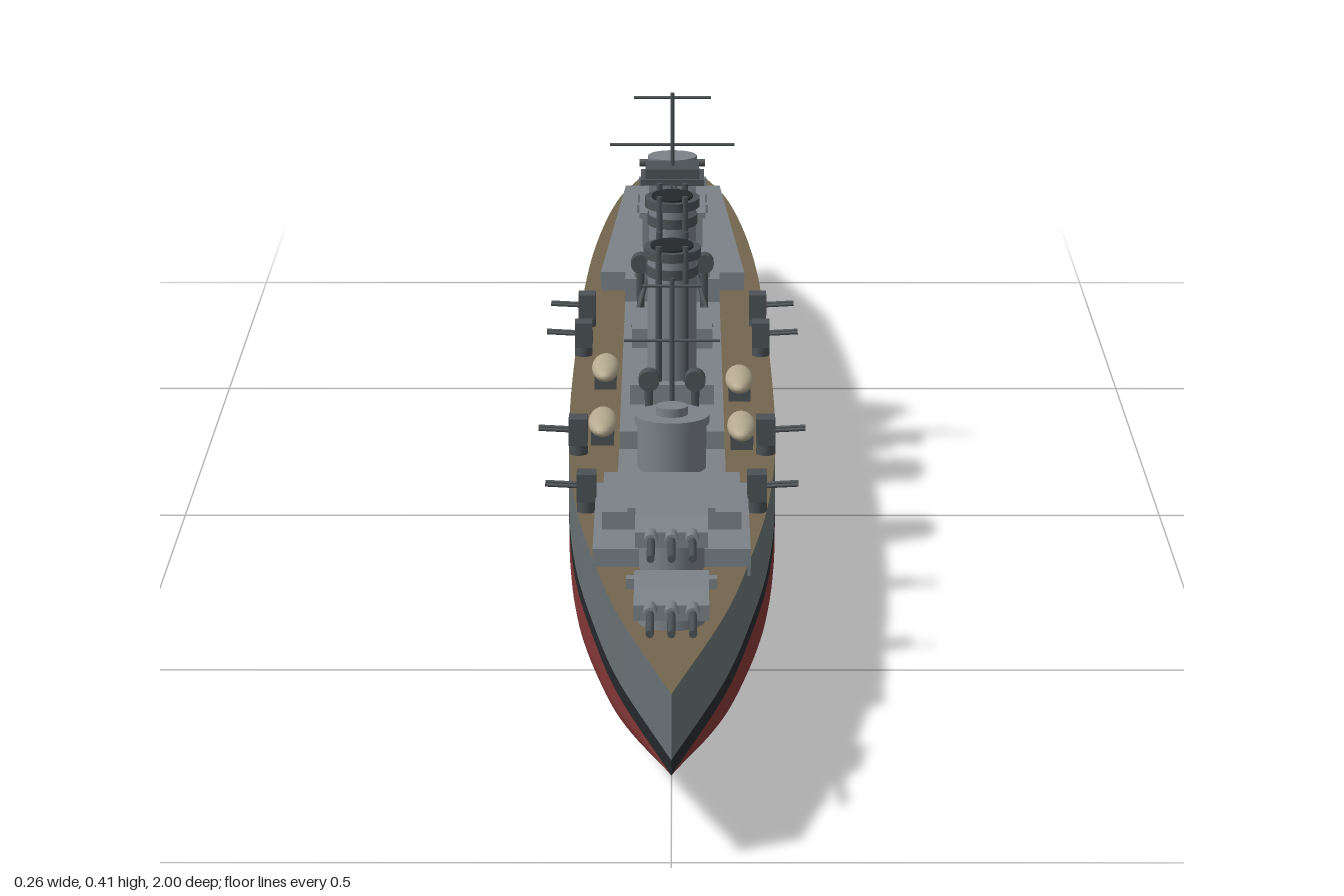
import * as THREE from 'three';

const mat = (color) => new THREE.MeshStandardMaterial({ color });
const M = {
  hull: mat(0x697174), deck: mat(0x74664e), red: mat(0x853838), black: mat(0x25292b),
  grey: mat(0x7b8288), dark: mat(0x4b5155), boat: mat(0xb5aa90),
};

// piecewise smooth interpolation through [position, value] pairs
function curve(pts) {
  return (z) => {
    let i = 0;
    while (i < pts.length - 2 && z > pts[i + 1][0]) i++;
    const slope = (k) => {
      const a = pts[Math.max(k - 1, 0)], b = pts[Math.min(k + 1, pts.length - 1)];
      return (b[1] - a[1]) / (b[0] - a[0]);
    };
    const [z0, a] = pts[i], [z1, b] = pts[i + 1], h = z1 - z0, t = (z - z0) / h;
    const t2 = t * t, t3 = t2 * t;
    return a * (2 * t3 - 3 * t2 + 1) + b * (3 * t2 - 2 * t3) +
      h * (slope(i) * (t3 - 2 * t2 + t) + slope(i + 1) * (t3 - t2));
  };
}
const halfWidth = curve([[-1, 0], [-0.88, 0.035], [-0.77, 0.062], [-0.6, 0.082], [-0.4, 0.094], [-0.1, 0.1],
  [0.25, 0.1], [0.47, 0.089], [0.66, 0.067], [0.8, 0.045], [1, 0]]);
const keel = curve([[-1, 0.075], [-0.94, 0.045], [-0.86, 0.02], [-0.72, 0.004], [-0.5, 0], [0.3, 0], [0.5, 0.006],
  [0.7, 0.023], [0.85, 0.045], [1, 0.075]]);
const deckY = (z) => 0.151 + 0.013 * Math.max(0, -z) ** 2 - 0.006 * Math.max(0, z) ** 2;

// surface swept along the ship; section(z, v) gives [x, y]
function sweep(nv, section) {
  const nu = 80, pos = [], idx = [];
  for (let i = 0; i <= nu; i++) {
    const z = -1 + (2 * i) / nu;
    for (let j = 0; j <= nv; j++) pos.push(...section(z, j / nv), z);
  }
  for (let i = 0; i < nu; i++) for (let j = 0; j < nv; j++) {
    const a = i * (nv + 1) + j, b = a + nv + 1;
    idx.push(a, b, a + 1, b, b + 1, a + 1);
  }
  const g = new THREE.BufferGeometry();
  g.setAttribute('position', new THREE.Float32BufferAttribute(pos, 3));
  g.setIndex(idx);
  g.computeVertexNormals();
  return g;
}

function add(parent, name, geo, material, x = 0, y = 0, z = 0) {
  const m = new THREE.Mesh(geo, material);
  m.name = name;
  m.position.set(x, y, z);
  parent.add(m);
  return m;
}
// box and cylinder given by bottom and top heights
const box = (p, name, w, y0, y1, z0, z1, m = M.grey, x = 0) =>
  add(p, name, new THREE.BoxGeometry(w, y1 - y0, z1 - z0), m, x, (y0 + y1) / 2, (z0 + z1) / 2);
const cyl = (p, name, r, y0, y1, z, m = M.grey, x = 0, n = 24) =>
  add(p, name, new THREE.CylinderGeometry(r, r, y1 - y0, n), m, x, (y0 + y1) / 2, z);
function rod(p, name, a, b, r, m = M.dark) {
  const A = new THREE.Vector3(...a), B = new THREE.Vector3(...b), d = B.clone().sub(A);
  const s = add(p, name, new THREE.CylinderGeometry(r, r, d.length(), 8), m);
  s.position.copy(A).add(B).multiplyScalar(0.5);
  s.quaternion.setFromUnitVectors(new THREE.Vector3(0, 1, 0), d.normalize());
}
function group(parent, name, x = 0, y = 0, z = 0) {
  const g = new THREE.Group();
  g.name = name;
  g.position.set(x, y, z);
  parent.add(g);
  return g;
}

function buildHull(ship) {
  const hull = group(ship, 'hull');
  const band = (name, m, lo, hi) => [1, -1].forEach((s) => add(hull, name,
    sweep(1, (z, v) => [s * halfWidth(z), (s > 0) === (v < 0.5) ? hi(z) : lo(z)]), m));
  band('topsides', M.hull, () => 0.088, deckY);
  band('waterlineBand', M.black, () => 0.075, () => 0.088);
  add(hull, 'underwaterHull', sweep(28, (z, v) => {
    const c = Math.cos(v * Math.PI), s = Math.sin(v * Math.PI), p = 0.45 + 0.4 * Math.abs(z) ** 3;
    return [halfWidth(z) * Math.sign(c) * Math.abs(c) ** p, 0.075 - (0.075 - keel(z)) * Math.max(s, 0) ** p];
  }), M.red);
  add(hull, 'deck', sweep(1, (z, v) => [halfWidth(z) * (2 * v - 1), deckY(z)]), M.deck);
  // anchor openings near the bow
  for (const s of [1, -1]) for (const z of [-0.87, -0.915])
    add(hull, 'anchorOpening', new THREE.SphereGeometry(0.009, 12, 8), M.black, s * halfWidth(z), 0.122, z);
}

// triple turret; dir is the z direction of the barrels
function buildTurret(ship, z, base, floor, dir) {
  const t = group(ship, 'turret', 0, base, z);
  if (dir < 0) t.rotation.y = Math.PI;
  cyl(t, 'barbette', 0.029, floor - base, 0.006, 0);
  const s = new THREE.Shape([[-0.033, 0.004], [0.036, 0.004], [0.036, 0.018], [0.016, 0.028], [-0.033, 0.028]]
    .map((q) => new THREE.Vector2(...q)));
  const g = new THREE.ExtrudeGeometry(s, { depth: 0.064, bevelEnabled: false });
  g.translate(0, 0, -0.032).rotateY(-Math.PI / 2);
  add(t, 'gunhouse', g, M.grey);
  box(t, 'rangefinder', 0.078, 0.016, 0.025, -0.028, -0.016);
  for (const x of [-0.018, 0, 0.018]) {
    rod(t, 'barrelSleeve', [x, 0.015, 0.03], [x, 0.016, 0.055], 0.006, M.grey);
    rod(t, 'barrel', [x, 0.015, 0.03], [x, 0.018, 0.115], 0.0035);
  }
}

function buildFunnel(ship, z) {
  const f = group(ship, 'funnel', 0, 0, z);
  box(f, 'funnelBase', 0.082, 0.17, 0.195, -0.045, 0.045);
  const oval = (name, rx, rz, y0, y1, m) => {
    const o = cyl(f, name, 1, y0, y1, 0, m, 0, 32);
    o.scale.set(rx, 1, rz);
  };
  oval('funnelCasing', 0.024, 0.032, 0.19, 0.316, M.grey);
  oval('funnelBand', 0.0255, 0.0335, 0.296, 0.306, M.dark);
  oval('funnelCap', 0.028, 0.036, 0.314, 0.323, M.dark);
  oval('funnelMouth', 0.021, 0.028, 0.32, 0.325, M.black);
  for (const s of [1, -1]) for (const e of [1, -1])
    rod(f, 'steamPipe', [s * 0.013, 0.19, e * 0.031], [s * 0.013, 0.33, e * 0.031], 0.003);
}

function buildMast(ship, z, foot, top, yards) {
  const m = group(ship, 'mast', 0, 0, z);
  rod(m, 'pole', [0, foot, 0], [0, top, 0], 0.0022);
  for (const [y, half] of yards) rod(m, 'yard', [-half, y, 0], [half, y, 0], 0.0015);
  return m;
}

export function createModel() {
  const ship = new THREE.Group();
  ship.name = 'warship';
  buildHull(ship);

  // tapered forward deckhouse
  const plan = new THREE.Shape([[-0.062, 0.34], [0.078, 0.34], [0.055, 0.77], [-0.055, 0.77], [-0.078, 0.34]]
    .map((q) => new THREE.Vector2(...q)));
  const fore = new THREE.ExtrudeGeometry(plan, { depth: 0.027, bevelEnabled: false });
  fore.rotateX(-Math.PI / 2);
  add(ship, 'forwardDeckhouse', fore, M.grey, 0, 0.146, 0);

  // midship and aft deckhouses
  box(ship, 'midshipHouse', 0.1, 0.145, 0.175, -0.36, 0.31);
  box(ship, 'aftHouse', 0.1, 0.145, 0.172, 0.36, 0.5);
  box(ship, 'aftLowerHouse', 0.14, 0.14, 0.165, 0.45, 0.66);
  box(ship, 'aftUpperHouse', 0.125, 0.165, 0.181, 0.47, 0.6);
  cyl(ship, 'aftControlTower', 0.032, 0.17, 0.215, 0.42);
  cyl(ship, 'aftControlRoof', 0.035, 0.215, 0.223, 0.42);
  cyl(ship, 'aftDirector', 0.015, 0.223, 0.231, 0.42);

  // stepped bridge tower
  const bridge = group(ship, 'bridge');
  box(bridge, 'bridgeBase', 0.1, 0.17, 0.2, -0.43, -0.2);
  box(bridge, 'bridgeLower', 0.08, 0.2, 0.226, -0.37, -0.205);
  box(bridge, 'bridgeMiddle', 0.064, 0.226, 0.264, -0.335, -0.235);
  box(bridge, 'bridgeLedge', 0.07, 0.258, 0.264, -0.34, -0.232);
  box(bridge, 'bridgeUpper', 0.05, 0.264, 0.292, -0.32, -0.25);
  cyl(bridge, 'directorPost', 0.02, 0.292, 0.3, -0.285);
  cyl(bridge, 'director', 0.026, 0.298, 0.315, -0.285);
  rod(bridge, 'rangefinderArm', [-0.035, 0.307, -0.285], [0.035, 0.307, -0.285], 0.004);

  // main turrets: z, base height, floor height, aim
  [[-0.745, 0.168, 0.15, -1], [-0.6, 0.182, 0.16, -1], [-0.455, 0.203, 0.16, -1],
    [0.66, 0.173, 0.14, 1], [0.81, 0.154, 0.14, 1]].forEach((a) => buildTurret(ship, ...a));

  for (const z of [-0.05, 0.168]) buildFunnel(ship, z);

  // masts, the forward one a tripod with a lookout platform
  const foremast = buildMast(ship, -0.177, 0.17, 0.405, [[0.4, 0.04], [0.35, 0.065]]);
  box(foremast, 'lookoutPlatform', 0.066, 0.312, 0.318, -0.027, 0.027, M.dark);
  box(foremast, 'lookoutRoof', 0.056, 0.318, 0.328, -0.022, 0.022, M.dark);
  for (const s of [1, -1]) rod(foremast, 'tripodLeg', [0, 0.312, 0], [s * 0.04, 0.175, 0.085], 0.0028);
  buildMast(ship, 0.35, 0.15, 0.335, [[0.328, 0.028], [0.275, 0.045]]);

  for (const s of [1, -1]) {
    // searchlights on posts
    for (const [x, z, y] of [[0.033, -0.115, 0.238], [0.022, 0.305, 0.225]]) {
      const g = group(ship, 'searchlight', s * x, 0, z);
      rod(g, 'searchlightPost', [0, 0.17, 0], [0, y, 0], 0.004);
      const lamp = cyl(g, 'lamp', 0.01, y - 0.008, y + 0.008, 0, M.dark, 0, 16);
      lamp.rotation.x = Math.PI / 2;
    }
    // twin secondary guns along the deck edge
    for (const z of [-0.19, -0.07, 0.3, 0.49]) {
      const g = group(ship, 'secondaryGun', s * (halfWidth(z) - 0.009), 0, z);
      cyl(g, 'gunPedestal', 0.009, 0.145, 0.163, 0, M.dark, 0, 12);
      box(g, 'gunShield', 0.018, 0.161, 0.187, -0.011, 0.011, M.dark);
      for (const dz of [-0.005, 0.005])
        rod(g, 'gunBarrel', [0, 0.174, dz], [s * 0.038, 0.176, dz], 0.0018);
    }
    // lifeboats in cradles
    for (const z of s > 0 ? [0.09, 0.265] : [0.045, 0.25]) {
      const g = group(ship, 'lifeboat', s * 0.067, 0.168, z);
      const hull = add(g, 'lifeboatHull', new THREE.SphereGeometry(1, 20, 12), M.boat);
      hull.scale.set(0.014, 0.01, 0.043);
      for (const dz of [-0.02, 0.02]) box(g, 'cradle', 0.022, -0.02, -0.004, dz - 0.003, dz + 0.003, M.dark);
    }
  }
  return ship;
}
